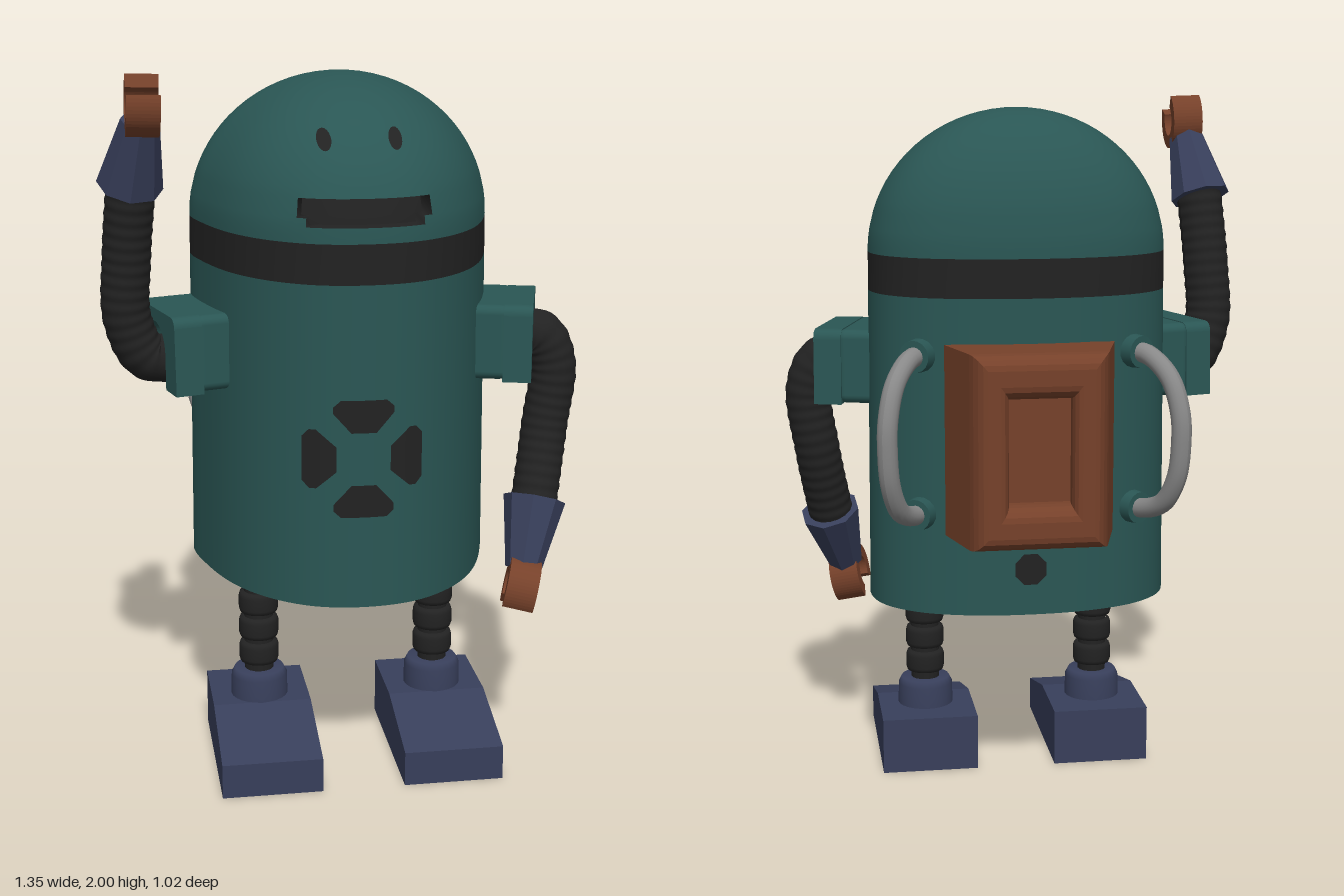
import * as THREE from 'three';
import { RoundedBoxGeometry } from 'three/addons/geometries/RoundedBoxGeometry.js';

const V = (x, y, z) => new THREE.Vector3(x, y, z);
const material = (name, color) => {
  const m = new THREE.MeshStandardMaterial({ color });
  m.name = name;
  return m;
};

// Egg-shaped body outline (x, z), starting at the front and running towards +x
const CX = 0.01, CZ = -0.02, N = 96;
const half = [[0, 0.508], [0.1, 0.496], [0.18, 0.462], [0.27, 0.388], [0.345, 0.28], [0.405, 0.12],
  [0.433, -0.03], [0.4, -0.15], [0.31, -0.238], [0.17, -0.29], [0, -0.306]];
const ring = [...half, ...half.slice(1, -1).reverse().map(([x, z]) => [-x, z])];
const outline = new THREE.CatmullRomCurve3(ring.map(([x, z]) => V(x, 0, z - CZ)), true, 'centripetal')
  .getSpacedPoints(N).slice(0, N);

// Horizontal scale of the body at height y: a slight taper, then an elliptical dome
const BOTTOM = 0.567, NECK = 1.57, TOP = 1.97;
function scaleAt(y) {
  if (y <= NECK) return 1 - 0.02 * (y - BOTTOM);
  return 0.98 * Math.sqrt(Math.max(0, 1 - ((y - NECK) / (TOP - NECK)) ** 2));
}
function surface(i, y, inset = 1) {
  const p = outline[(i + N) % N], k = scaleAt(y) * inset;
  return V(CX + p.x * k, y, CZ + p.z * k);
}

// Front (side = 1) or back (side = -1) surface depth at x, y
function depthAt(x, y, side) {
  const k = scaleAt(y), u = (x - CX) / k;
  let best = 0;
  for (let i = 0; i < N; i++) {
    const a = outline[i], b = outline[(i + 1) % N];
    if ((a.x - u) * (b.x - u) > 0 || a.x === b.x) continue;
    const z = a.z + (b.z - a.z) * (u - a.x) / (b.x - a.x);
    if (z * side > best * side) best = z;
  }
  return CZ + best * k + 0.005 * side;
}
function wrap(geo, side = 1) {
  const p = geo.attributes.position;
  for (let i = 0; i < p.count; i++) p.setZ(i, depthAt(p.getX(i), p.getY(i), side));
  geo.computeVertexNormals();
  return geo;
}

// Surface through rows of points, optionally closed around and with cells left out
function grid(rows, closed, skip = () => false) {
  const n = rows[0].length, index = [];
  for (let j = 0; j < rows.length - 1; j++) {
    for (let i = 0; i < (closed ? n : n - 1); i++) {
      if (skip(i, j)) continue;
      const k = (i + 1) % n, a = j * n + i, b = j * n + k;
      index.push(a, b, b + n, a, b + n, a + n);
    }
  }
  const geo = new THREE.BufferGeometry().setFromPoints(rows.flat());
  geo.setIndex(index);
  geo.computeVertexNormals();
  return geo;
}
const columns = [...Array(N).keys()];
const shell = (ys, skip) => grid(ys.map(y => columns.map(i => surface(i, y))), true, skip);

// Tube along points whose radius ripples into ribs
function hose(points, r, ribs = 0, amp = 0) {
  const curve = new THREE.CatmullRomCurve3(points), seg = ribs ? ribs * 6 : 40, sides = 16;
  const geo = new THREE.TubeGeometry(curve, seg, r, sides), p = geo.attributes.position;
  for (let i = 0; i < p.count; i++) {
    const row = Math.floor(i / (sides + 1)), c = curve.getPointAt(row / seg);
    const v = V().fromBufferAttribute(p, i).sub(c);
    v.multiplyScalar(1 + amp * Math.cos(row / 6 * Math.PI * 2)).add(c);
    p.setXYZ(i, v.x, v.y, v.z);
  }
  geo.computeVertexNormals();
  return geo;
}

// Cylinder from a to b
function rod(a, b, ra, rb, sides, flat) {
  let geo = new THREE.CylinderGeometry(rb, ra, a.distanceTo(b), sides);
  if (flat) { geo = geo.toNonIndexed(); geo.computeVertexNormals(); }
  const dir = b.clone().sub(a).normalize(), mid = a.clone().lerp(b, 0.5);
  geo.applyQuaternion(new THREE.Quaternion().setFromUnitVectors(V(0, 1, 0), dir));
  return geo.translate(mid.x, mid.y, mid.z);
}

// Side profile (z, y) extruded to a width in x, centred
function sideExtrude(shape, width) {
  const geo = new THREE.ExtrudeGeometry(shape, { depth: width, bevelEnabled: false, curveSegments: 20 });
  return geo.translate(0, 0, -width / 2).rotateY(-Math.PI / 2);
}
const rectPath = (path, w, h) =>
  path.setFromPoints([[-w, -h], [w, -h], [w, h], [-w, h]].map(p => new THREE.Vector2(...p)));

export function createModel() {
  const model = new THREE.Group();
  model.name = 'robot';
  const green = material('teal green', 0x2a5654), black = material('rubber black', 0x222222);
  const blue = material('slate blue', 0x383f5b), rust = material('rust brown', 0x76412a);
  const grey = material('metal grey', 0x888888);
  const add = (name, geo, mat) => {
    const mesh = new THREE.Mesh(geo, mat);
    mesh.name = name;
    model.add(mesh);
    return mesh;
  };

  // Body, band and flat underside
  add('body', shell([BOTTOM, 1.0, 1.462]), green);
  add('neckBand', shell([1.462, NECK]), black);
  const floor = grid([columns.map(() => V(CX, BOTTOM, CZ)), columns.map(i => surface(i, BOTTOM))], true);
  add('underside', floor, green);

  // Dome with a carved mouth slot, one column narrower along its lower row
  const ys = [NECK, 1.59, 1.612, 1.635, 1.685];
  for (let i = 1; i <= 16; i++) ys.push(1.685 + (TOP - 1.685) * Math.sin(i / 16 * Math.PI / 2));
  const M = 7, lo = 2, hi = 4, mid = ys[3];
  add('dome', shell(ys, (i, j) => {
    const w = j === lo ? M - 1 : M;
    return j >= lo && j < hi && (i < w || i >= N - w);
  }), green);
  const cols = [...Array(2 * M + 1).keys()].map(i => i - M);
  const deep = 0.9;
  add('mouthBack', grid(ys.slice(lo, hi + 1).map(y => cols.map(i => surface(i, y, deep))), false), black);
  const edge = [...cols.slice(1, -1).map(i => [i, ys[lo]]), [M - 1, mid], [M, mid],
    ...cols.slice().reverse().map(i => [i, ys[hi]]), [-M, mid], [1 - M, mid]];
  add('mouthRim', grid([1, deep].map(d => edge.map(([i, y]) => surface(i, y, d))), true), black);

  // Eyes
  for (const x of [-0.087, 0.103]) {
    const eye = new THREE.RingGeometry(0.0001, 1, 20, 4).scale(0.019, 0.027, 1).translate(x, 1.826, 0);
    add('eye', wrap(eye), black);
  }

  // Chest vent of four wedges with clipped outer corners, and the small back port
  for (let q = 0; q < 4; q++) {
    const geo = new THREE.PlaneGeometry(1, 1, 8, 10), p = geo.attributes.position;
    for (let i = 0; i < p.count; i++) {
      const t = p.getY(i) + 0.5;
      const w = 0.034 + 0.048 * Math.min(1, t / 0.6) - 0.1 * Math.max(0, t - 0.8);
      p.setXY(i, p.getX(i) * 2 * w, 0.073 + 0.09 * t);
    }
    add('chestVent', wrap(geo.rotateZ(q * Math.PI / 2).translate(0, 0.99, 0)), black);
  }
  const port = new THREE.CircleGeometry(0.048, 8).rotateZ(Math.PI / 8).rotateY(Math.PI).translate(0.01, 0.7, 0);
  add('backPort', wrap(port, -1), black);

  // Backpack: bevelled frame with a window, tapering away from the body
  const frame = rectPath(new THREE.Shape(), 0.19, 0.228);
  frame.holes.push(rectPath(new THREE.Path(), 0.145, 0.185));
  const pack = new THREE.ExtrudeGeometry(frame, {
    depth: 0.175, bevelThickness: 0.05, bevelSize: 0.04, bevelSegments: 4 });
  const pp = pack.attributes.position;
  for (let i = 0; i < pp.count; i++) pp.setX(i, pp.getX(i) * (1.03 - 1.2 * Math.max(0, pp.getZ(i))));
  pack.computeVertexNormals();
  add('backpack', pack.rotateY(Math.PI).translate(0.01, 1.07, -0.285), rust);
  add('backpackPanel', new THREE.BoxGeometry(0.27, 0.4, 0.14).translate(0.01, 1.07, -0.365), rust);

  // Shoulder arch (z, y) with a round-topped slot for the arm
  const arch = new THREE.Shape();
  arch.moveTo(-0.165, -0.108);
  arch.lineTo(-0.08, -0.108);
  arch.lineTo(-0.08, -0.01);
  arch.absarc(0, -0.01, 0.08, Math.PI, 0, true);
  arch.lineTo(0.08, -0.108);
  arch.lineTo(0.165, -0.108);
  arch.lineTo(0.158, 0.08);
  arch.quadraticCurveTo(0.155, 0.107, 0.125, 0.107);
  arch.lineTo(-0.125, 0.107);
  arch.quadraticCurveTo(-0.155, 0.107, -0.158, 0.08);

  for (const s of [-1, 1]) {
    // Carrying handle with collars
    const out = (d, y) => V(CX + s * (0.3 + 0.53 * d), y, -0.235 - 0.84 * d);
    const path = [[-0.01, 1.305], [0.07, 1.295], [0.15, 1.24], [0.19, 1.15], [0.195, 1.07],
      [0.18, 0.97], [0.13, 0.89], [0.06, 0.86], [-0.01, 0.855]];
    add('handle', hose(path.map(([d, y]) => out(d, y)), 0.028), grey);
    for (const y of [1.303, 0.856]) add('handleCollar', rod(out(-0.03, y), out(0.035, y), 0.05, 0.045, 16), green);

    // Shoulder block with the arch on its outer end
    const shoulder = new THREE.Group();
    shoulder.name = 'shoulder';
    const block = new THREE.Mesh(new RoundedBoxGeometry(0.22, 0.213, 0.315, 3, 0.025), green);
    const collar = new THREE.Mesh(sideExtrude(arch, 0.08), green);
    block.position.x = -s * 0.025;
    collar.position.x = s * 0.11;
    shoulder.add(block, collar);
    shoulder.position.set(CX + s * 0.395, 1.238, 0.118);
    shoulder.rotation.y = -s * 0.28;
    model.add(shoulder);

    // Ribbed leg
    const x = 0.0105 + s * 0.26;
    add('legCore', rod(V(x, 0.2, 0.14), V(x, 0.6, 0.14), 0.043, 0.043, 16), black);
    for (let i = 0; i < 4; i++) {
      const y = 0.3 + i * 0.078;
      const rib = [[0.043, -0.033], [0.054, -0.03], [0.058, -0.018], [0.058, 0.018], [0.054, 0.03], [0.043, 0.033]];
      const geo = new THREE.LatheGeometry(rib.map(p => new THREE.Vector2(...p)), 20);
      add('legRib', geo.translate(x, y, 0.14), black);
    }

    // Ankle and wedge foot
    const ankle = [[0.084, 0.15], [0.082, 0.228], [0.072, 0.247], [0.001, 0.247]];
    const ankleGeo = new THREE.LatheGeometry(ankle.map(p => new THREE.Vector2(...p)), 24);
    add('ankle', ankleGeo.translate(x, 0, 0.14), blue);
    const foot = [[-0.025, 0], [0.475, 0], [0.475, 0.1], [0.22, 0.166], [-0.025, 0.166]];
    const footShape = new THREE.Shape(foot.map(p => new THREE.Vector2(...p)));
    add('foot', sideExtrude(footShape, 0.285).translate(x, 0, 0), blue);
  }

  // Arms: one raised, one lowered, each with a cuff and an open claw
  const arms = [
    { path: [V(-0.44, 1.21, 0.15), V(-0.55, 1.21, 0.165), V(-0.605, 1.32, 0.18), V(-0.603, 1.5, 0.2), V(-0.585, 1.72, 0.235)],
      wrist: V(-0.56, 1.875, 0.305), claw: V(-0.555, 1.922, 0.338), gap: 70, tilt: -0.03, turn: 0 },
    { path: [V(0.46, 1.24, 0.15), V(0.565, 1.235, 0.165), V(0.605, 1.15, 0.17), V(0.585, 0.97, 0.18), V(0.542, 0.735, 0.242)],
      wrist: V(0.5, 0.575, 0.31), claw: V(0.486, 0.527, 0.337), gap: -75, tilt: -0.2, turn: -0.25 },
  ];
  for (const { path, wrist, claw, gap, tilt, turn } of arms) {
    add('arm', hose(path, 0.067, 18, 0.02), black);
    const elbow = path[4].clone().lerp(wrist, -0.15);
    add('cuff', rod(elbow, wrist, 0.09, 0.052, 8, true), blue);
    const a0 = (gap + 48) * Math.PI / 180, a1 = (gap + 312) * Math.PI / 180;
    const shape = new THREE.Shape();
    shape.absarc(0, 0, 0.084, a0, a1, false);
    shape.absarc(0, 0, 0.046, a1, a0, true);
    const hand = add('claw', sideExtrude(shape, 0.088), rust);
    hand.position.copy(claw);
    hand.rotation.set(0, turn, tilt);
  }
  return model;
}
